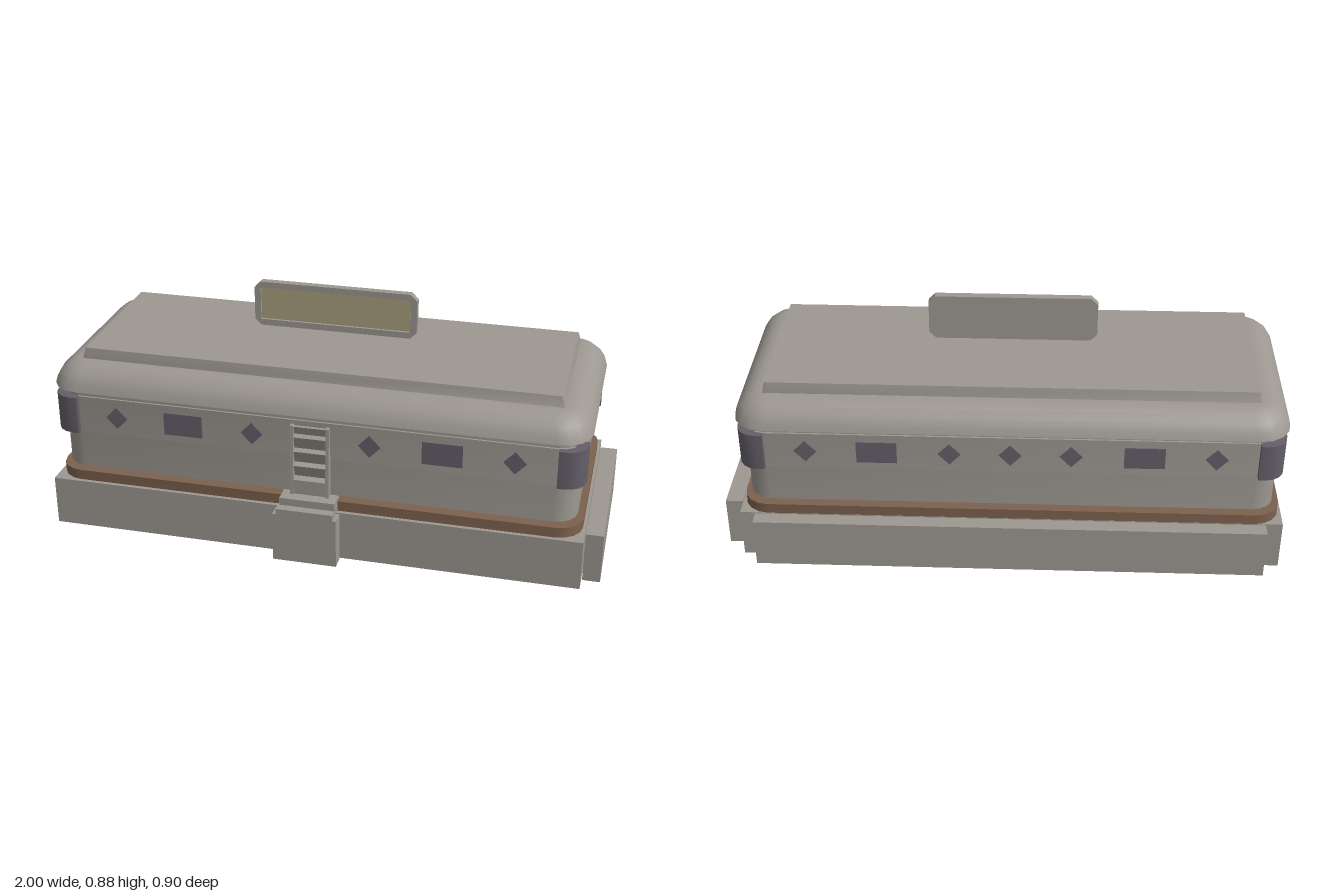
import * as THREE from 'three';
import { toCreasedNormals } from 'three/addons/utils/BufferGeometryUtils.js';

// Stacked rounded-rectangle sections [halfX, halfZ, y, cornerRadius], closed at both ends
function loft(sections, steps = 4) {
  const rings = sections.map(([hx, hz, y, r]) => {
    const ring = [];
    [[1, 1], [-1, 1], [-1, -1], [1, -1]].forEach(([sx, sz], q) => {
      for (let i = 0; i <= steps; i++) {
        const a = (q + i / steps) * Math.PI / 2;
        ring.push([sx * (hx - r) + r * Math.cos(a), y, sz * (hz - r) + r * Math.sin(a)]);
      }
    });
    return ring;
  });
  const pos = [];
  const tri = (...pts) => pts.forEach((p) => pos.push(...p));
  const n = rings[0].length;
  const last = rings.length - 1;
  for (let i = 0; i < n; i++) {
    const j = (i + 1) % n;
    for (let k = 0; k < last; k++) {
      const lo = rings[k], hi = rings[k + 1];
      tri(lo[i], hi[i], lo[j]);
      tri(lo[j], hi[i], hi[j]);
    }
    tri([0, rings[0][0][1], 0], rings[0][i], rings[0][j]);
    tri([0, rings[last][0][1], 0], rings[last][j], rings[last][i]);
  }
  const g = new THREE.BufferGeometry();
  g.setAttribute('position', new THREE.Float32BufferAttribute(pos, 3));
  return toCreasedNormals(g, 0.6);
}

// Box given by its minimum and maximum corners
function boxBetween(x0, x1, y0, y1, z0, z1) {
  return new THREE.BoxGeometry(x1 - x0, y1 - y0, z1 - z0)
    .translate((x0 + x1) / 2, (y0 + y1) / 2, (z0 + z1) / 2);
}

// Rectangle with cut corners
function cutRect(hx, hy, c) {
  return new THREE.Shape([
    [hx - c, -hy], [hx, c - hy], [hx, hy - c], [hx - c, hy],
    [c - hx, hy], [-hx, hy - c], [-hx, c - hy], [c - hx, -hy],
  ].map(([x, y]) => new THREE.Vector2(x, y)));
}

export function createModel() {
  const material = (name, color) => {
    const m = new THREE.MeshStandardMaterial({ color });
    m.name = name;
    return m;
  };
  const grey = material('warm grey', 0x9d9891);
  const glass = material('dark glass', 0x645f69);
  const brown = material('brown trim', 0x7d624e);
  const yellow = material('sign yellow', 0xaca27f);

  const model = new THREE.Group();
  model.name = 'diner';
  const add = (name, geometry, mat, parent = model) => {
    const mesh = new THREE.Mesh(geometry, mat);
    mesh.name = name;
    parent.add(mesh);
    return mesh;
  };

  // Foundation with thin slabs on the back and one end
  add('foundation', boxBetween(-1, 0.935, 0, 0.185, -0.395, 0.39), grey);
  add('backSlab', boxBetween(-0.94, 0.88, 0, 0.185, -0.453, -0.4), grey);
  add('endSlab', boxBetween(0.938, 1, 0, 0.185, -0.33, 0.33), grey);

  // Front steps
  add('stepBase', boxBetween(-0.148, 0.083, 0, 0.185, 0.398, 0.452), grey);
  add('lowerStep', boxBetween(-0.135, 0.07, 0.185, 0.207, 0.36, 0.452), grey);
  add('upperStep', boxBetween(-0.13, 0.07, 0.207, 0.235, 0.35, 0.42), grey);

  // Building, centred a little off the foundation
  const building = new THREE.Group();
  building.name = 'building';
  building.position.set(-0.0325, 0, -0.0095);
  model.add(building);
  const part = (name, sections, mat) => add(name, loft(sections), mat, building);

  part('baseTrim', [[0.957, 0.385, 0.185, 0.09], [0.957, 0.385, 0.223, 0.09]], brown);
  part('lowerWall', [[0.935, 0.365, 0.235, 0.08], [0.935, 0.365, 0.375, 0.08]], grey);
  part('windowBand', [[0.935, 0.365, 0.375, 0.08], [0.935, 0.365, 0.515, 0.08]], grey);
  part('upperWall', [[0.928, 0.358, 0.515, 0.075], [0.928, 0.358, 0.55, 0.075]], grey);
  part('roofEdge', [
    [0.967, 0.397, 0.545, 0.11], [0.961, 0.389, 0.57, 0.108], [0.945, 0.372, 0.598, 0.1],
    [0.92, 0.345, 0.62, 0.08], [0.893, 0.315, 0.631, 0.05], [0.873, 0.297, 0.632, 0.03],
  ], grey);
  part('roofPanel', [[0.866, 0.29, 0.625, 0.004], [0.856, 0.28, 0.67, 0.004]], grey);

  // Wrapped corner windows
  for (const sx of [-1, 1]) {
    for (const sz of [-1, 1]) {
      const X = 0.957, Z = 0.384, size = 0.095, r = 0.07;
      const pts = [[X - size, Z - size], [X - size, Z]];
      for (let i = 0; i <= 4; i++) {
        const a = (1 - i / 4) * Math.PI / 2;
        pts.push([X - r + r * Math.cos(a), Z - r + r * Math.sin(a)]);
      }
      pts.push([X, Z - size]);
      const shape = new THREE.Shape(pts.map(([x, z]) => new THREE.Vector2(sx * x, -sz * z)));
      const g = new THREE.ExtrudeGeometry(shape, { depth: 0.14, bevelEnabled: false });
      add('cornerWindow', toCreasedNormals(g.rotateX(-Math.PI / 2).translate(0, 0.375, 0), 0.6), glass, building);
    }
  }

  // Flat windows: rectangles and diamonds as thin plates
  const rectangle = new THREE.BoxGeometry(0.142, 0.084, 0.004);
  const sideRectangle = new THREE.BoxGeometry(0.108, 0.084, 0.004);
  const diamond = new THREE.ExtrudeGeometry(
    new THREE.Shape([[0.04, 0], [0, 0.042], [-0.04, 0], [0, -0.042]].map(([x, y]) => new THREE.Vector2(x, y))),
    { depth: 0.004, bevelEnabled: false }).translate(0, 0, -0.002);
  const addWindow = (name, g, x, z, turn) => {
    const w = add(name, g, glass, building);
    w.position.set(x, 0.444, z);
    w.rotation.y = turn;
  };
  for (const s of [-1, 1]) {
    const turn = s > 0 ? 0 : Math.PI;
    for (const m of [-1, 1]) {
      addWindow('diamondWindow', diamond, m * 0.717, s * 0.366, turn);
      addWindow('rectangleWindow', rectangle, m * 0.467, s * 0.366, turn);
      addWindow('diamondWindow', diamond, m * 0.212, s * 0.366, turn);
      addWindow('endWindow', sideRectangle, s * 0.936, m * 0.185, s * Math.PI / 2);
    }
    addWindow('endDiamondWindow', diamond, s * 0.936, 0, s * Math.PI / 2);
  }
  addWindow('backDiamondWindow', diamond, 0, -0.366, Math.PI);

  // Door: leaning side frames around a pleated panel, each extruded from a side profile (z, y)
  const doorPiece = (name, profile, x0, x1) => {
    const shape = new THREE.Shape(profile.map(([z, y]) => new THREE.Vector2(-z, y)));
    const g = new THREE.ExtrudeGeometry(shape, { depth: x1 - x0, bevelEnabled: false });
    add(name, g.rotateY(Math.PI / 2).translate(x0, 0, 0), grey);
  };
  const frame = [[0.34, 0.235], [0.385, 0.235], [0.373, 0.5], [0.34, 0.5]];
  doorPiece('doorFrame', frame, -0.1, -0.088);
  doorPiece('doorFrame', frame, 0.028, 0.04);
  const pleats = [[0.34, 0.235], [0.378, 0.235]];
  for (let i = 0; i < 4; i++) {
    pleats.push([0.378 - i * 0.002, 0.29 + i * 0.055], [0.36, 0.3 + i * 0.055]);
  }
  pleats.push([0.368, 0.495], [0.34, 0.495]);
  doorPiece('doorPanel', pleats, -0.088, 0.028);

  // Rooftop sign with a recessed yellow face
  const sign = new THREE.Group();
  sign.name = 'sign';
  sign.position.set(-0.03, 0.792, -0.025);
  model.add(sign);
  add('signBack', new THREE.ExtrudeGeometry(cutRect(0.3, 0.084, 0.024), { depth: 0.018, bevelEnabled: false }), grey, sign);
  const rim = cutRect(0.3, 0.084, 0.024);
  rim.holes.push(cutRect(0.277, 0.061, 0.003));
  add('signRim', new THREE.ExtrudeGeometry(rim, { depth: 0.01, bevelEnabled: false }).translate(0, 0, 0.018), grey, sign);
  add('signFace', new THREE.BoxGeometry(0.548, 0.116, 0.004).translate(0, 0, 0.019), yellow, sign);

  return model;
}
